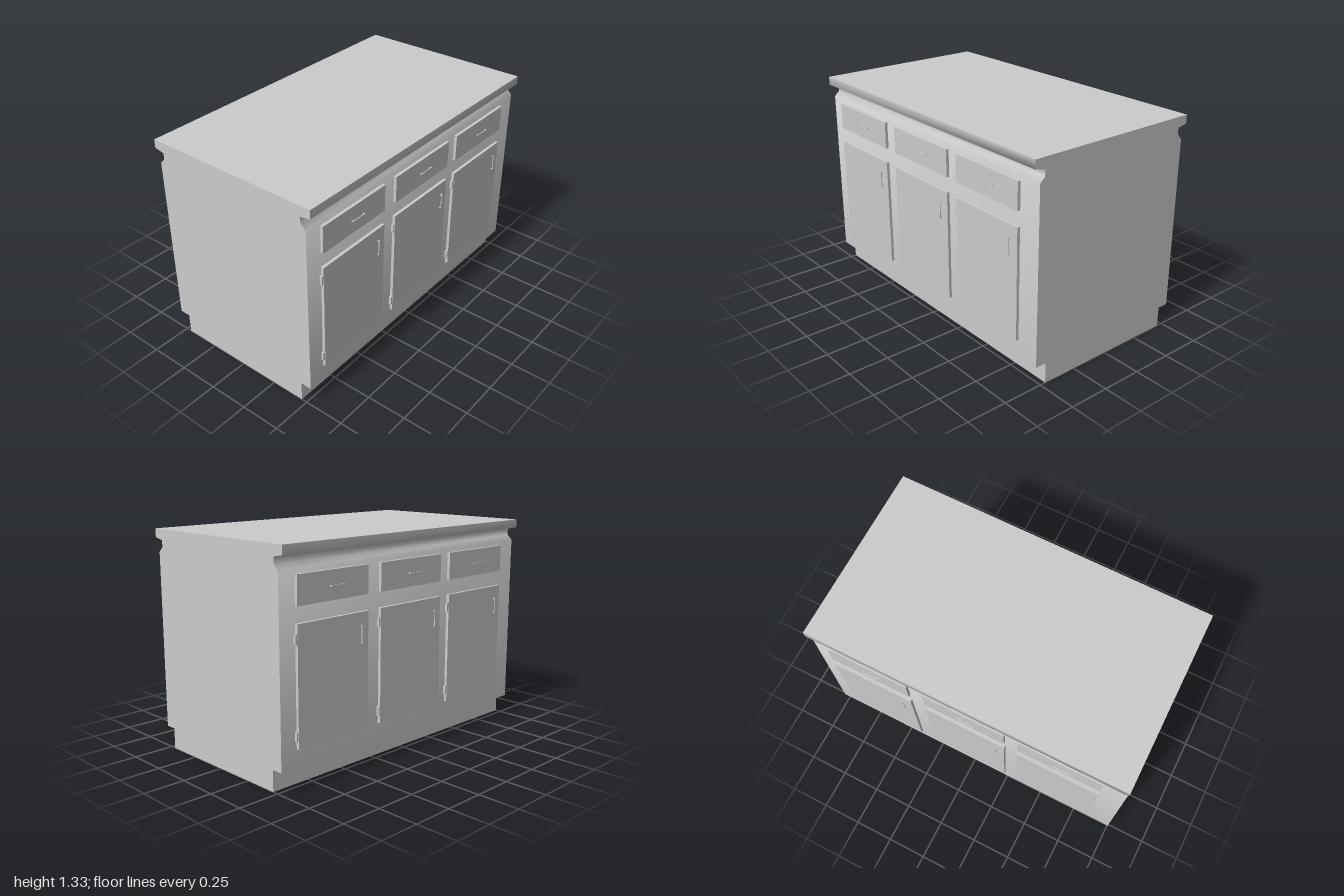
import * as THREE from 'three';
import { toCreasedNormals } from 'three/addons/utils/BufferGeometryUtils.js';

const material = new THREE.MeshStandardMaterial({ color: 0xcccccc });
const FACE = 0.535; // depth of the cabinet face
const PANEL = 0.018; // thickness of doors and drawer fronts

// Box given by its limits on each axis
function box(name, [x0, x1], [y0, y1], [z0, z1]) {
  const mesh = new THREE.Mesh(new THREE.BoxGeometry(x1 - x0, y1 - y0, z1 - z0), material);
  mesh.position.set((x0 + x1) / 2, (y0 + y1) / 2, (z0 + z1) / 2);
  mesh.name = name;
  return mesh;
}

// Thin bar pull on two posts, lying along x and centred on its own origin
function pull(name, length) {
  const group = new THREE.Group();
  const h = length / 2, t = 0.003, out = 0.013;
  group.add(box('pullBar', [-h, h], [-t, t], [out - 0.005, out]));
  for (const s of [-1, 1]) {
    const x = s * (h - t);
    group.add(box('pullPost', [x - t, x + t], [-t, t], [0, out - 0.005]));
  }
  group.name = name;
  return group;
}

// Carcass, toe kick and worktop share one cross-section, swept along x
function createBody() {
  const half = [
    [0.465, 0], [0.465, 0.125], [FACE, 0.125], [FACE, 1.19], [0.503, 1.222],
    [0.503, 1.26], [0.568, 1.273], [0.568, 1.325],
  ];
  const outline = [...half, ...half.map(([z, y]) => [-z, y]).reverse()];
  const shape = new THREE.Shape(outline.map(([z, y]) => new THREE.Vector2(z, y)));
  const geometry = new THREE.ExtrudeGeometry(shape, { depth: 2, bevelEnabled: false });
  geometry.translate(0, 0, -1).rotateY(-Math.PI / 2);
  const mesh = new THREE.Mesh(toCreasedNormals(geometry, 1.48), material);
  mesh.name = 'cabinetBody';
  return mesh;
}

// Three drawers over three hinged doors
function createFrontage(name) {
  const group = new THREE.Group();
  const depth = [FACE - 0.005, FACE + PANEL];
  for (const left of [-0.892, -0.27, 0.335]) {
    const span = [left, left + 0.52];
    group.add(box('drawerFront', span, [1.0, 1.165], depth));
    group.add(box('door', span, [0.23, 0.908], depth));

    const drawerPull = pull('drawerPull', 0.1);
    drawerPull.position.set(left + 0.28, 1.08, FACE + PANEL);
    const doorPull = pull('doorPull', 0.1);
    doorPull.rotation.z = Math.PI / 2;
    doorPull.position.set(left + 0.463, 0.783, FACE + PANEL);
    group.add(drawerPull, doorPull);

    for (const y of [0.275, 0.8]) {
      group.add(box('hinge', [left - 0.011, left + 0.002], [y, y + 0.055], [FACE - 0.002, FACE + 0.015]));
    }
  }
  group.name = name;
  return group;
}

export function createModel() {
  const model = new THREE.Group();
  model.name = 'kitchenIsland';
  const back = createFrontage('backFrontage');
  back.rotation.y = Math.PI;
  model.add(createBody(), createFrontage('frontFrontage'), back);
  return model;
}
